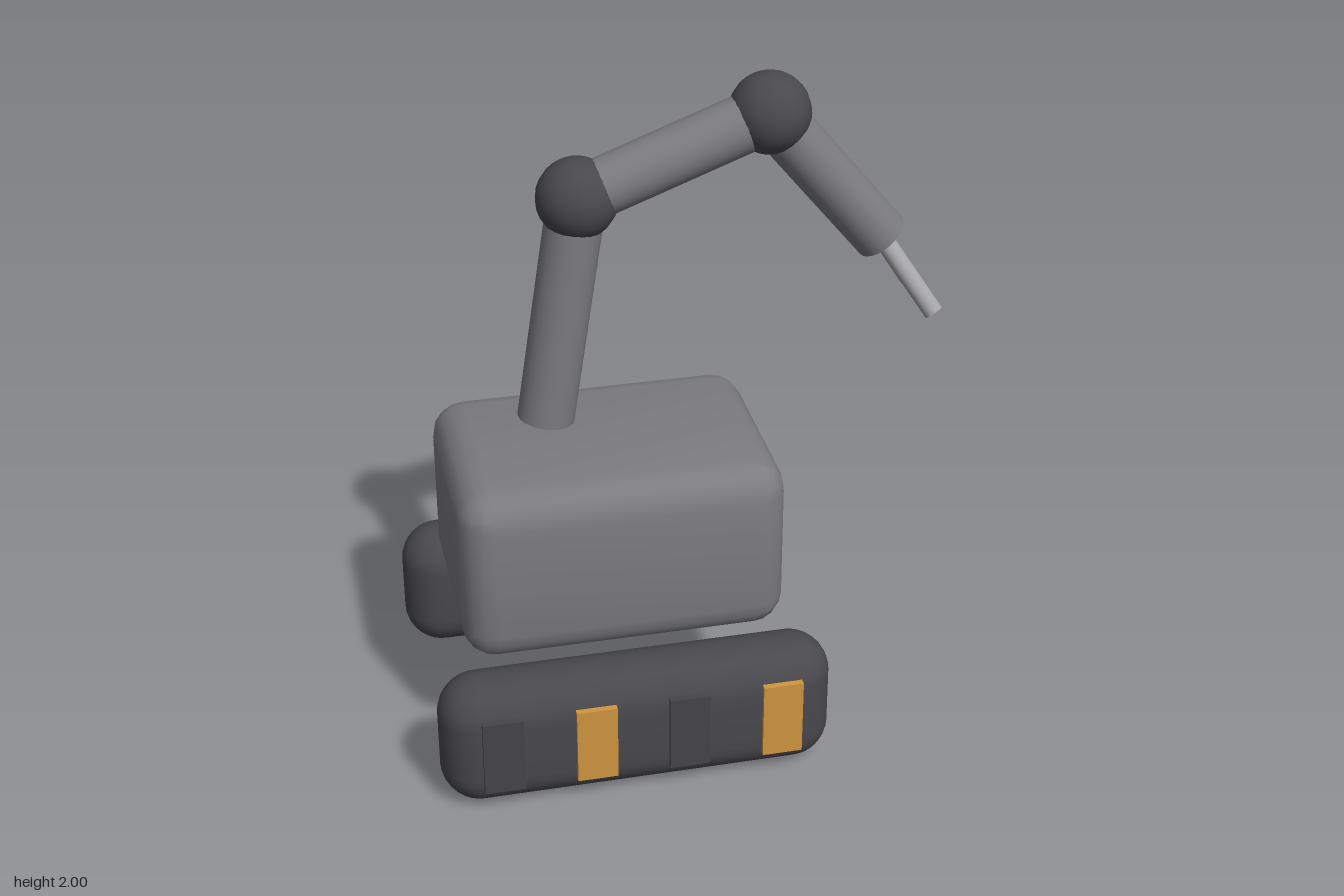
import * as THREE from 'three';
import { toCreasedNormals } from 'three/addons/utils/BufferGeometryUtils.js';

const material = (name, color) => {
  const m = new THREE.MeshStandardMaterial({ color });
  m.name = name;
  return m;
};

// Box with bevelled edges: every edge is a quarter round of `seg` steps
function bevelBox(w, h, d, r, seg, crease) {
  const n = 2 * seg + 1;
  const geo = new THREE.BoxGeometry(1, 1, 1, n, n, n);
  const pos = geo.attributes.position;
  const size = [w, h, d];
  for (let i = 0; i < pos.count; i++) {
    const p = [pos.getX(i), pos.getY(i), pos.getZ(i)];
    const dir = new THREE.Vector3(...p.map((v) => {
      const k = Math.round((v + 0.5) * n);
      const step = k <= seg ? k - seg : k - seg - 1;
      return Math.tan((step / seg) * Math.PI / 4);
    })).normalize().multiplyScalar(r);
    const core = p.map((v, a) => Math.sign(v) * (size[a] / 2 - r));
    pos.setXYZ(i, core[0] + dir.x, core[1] + dir.y, core[2] + dir.z);
  }
  return toCreasedNormals(geo, crease);
}

export function createModel() {
  const model = new THREE.Group();
  model.name = 'trackedArmRobot';

  const grey = material('bodyGrey', 0x7c7c80);
  const dark = material('darkRubber', 0x49484d);
  const slot = material('slotCharcoal', 0x454548);
  const orange = material('signalOrange', 0xd0963f);
  const steel = material('lightSteel', 0xa6a6a8);

  const add = (name, geo, mat, x = 0, y = 0, z = 0, parent = model) => {
    const mesh = new THREE.Mesh(geo, mat);
    mesh.name = name;
    mesh.position.set(x, y, z);
    parent.add(mesh);
    return mesh;
  };

  // Round rod between two points
  const rod = (name, a, b, r, mat, parent) => {
    const dir = b.clone().sub(a);
    const mid = a.clone().add(b).multiplyScalar(0.5);
    const mesh = add(name, new THREE.CylinderGeometry(r, r, dir.length(), 24), mat, mid.x, mid.y, mid.z, parent);
    mesh.quaternion.setFromUnitVectors(new THREE.Vector3(0, 1, 0), dir.normalize());
    return mesh;
  };

  // Hull
  const cx = -0.205;
  add('body', bevelBox(0.952, 0.545, 0.684, 0.097, 2, Math.PI / 6), grey, cx, 0.6525, 0);

  // Tracks with alternating side plates
  const trackGeo = bevelBox(1.157, 0.405, 0.235, 0.117, 4, Math.PI / 4);
  const plateGeo = new THREE.BoxGeometry(0.118, 0.24, 0.02);
  for (const side of [1, -1]) {
    const track = new THREE.Group();
    track.name = side > 0 ? 'frontTrack' : 'backTrack';
    model.add(track);
    add('tread', trackGeo, dark, cx, 0.207, side * 0.412, track);
    [-0.613, -0.342, -0.07, 0.207].forEach((x, i) =>
      add('trackPlate', plateGeo, i % 2 ? orange : slot, x, 0.21, side * 0.532, track));
  }

  // Vent panel with three slots on the end wall
  const endX = cx + 0.476;
  add('ventPanel', new THREE.BoxGeometry(0.004, 0.17, 0.49), orange, endX, 0.687, 0);
  for (const z of [-0.155, 0, 0.155]) {
    add('ventSlot', new THREE.BoxGeometry(0.024, 0.134, 0.072), slot, endX, 0.687, z);
  }

  // Warning triangle on the back wall
  const triangle = new THREE.CylinderGeometry(0.12, 0.12, 0.03, 3);
  triangle.rotateX(-Math.PI / 2); // one corner points up
  add('warningTriangle', triangle, orange, cx, 0.71, -0.352);

  // Jointed arm
  const arm = new THREE.Group();
  arm.name = 'arm';
  model.add(arm);
  const base = new THREE.Vector3(-0.377, 0.998, 0);
  const elbow = new THREE.Vector3(-0.272, 1.678, 0);
  const wrist = new THREE.Vector3(0.274, 1.883, 0);
  const hand = new THREE.Vector3(0.612, 1.474, 0);
  rod('lowerLink', base, elbow, 0.083, grey, arm);
  rod('middleLink', elbow, wrist, 0.083, grey, arm);
  rod('upperLink', wrist, hand, 0.08, grey, arm);
  const ball = new THREE.SphereGeometry(0.117, 20, 14);
  add('elbowJoint', ball, dark, elbow.x, elbow.y, 0, arm);
  add('wristJoint', ball, dark, wrist.x, wrist.y, 0, arm);

  // Two-fingered gripper
  for (const side of [1, -1]) {
    rod('gripperFinger', new THREE.Vector3(0.605, 1.485, 0), new THREE.Vector3(0.745, 1.268, side * 0.117),
      0.028, steel, arm);
  }

  return model;
}
